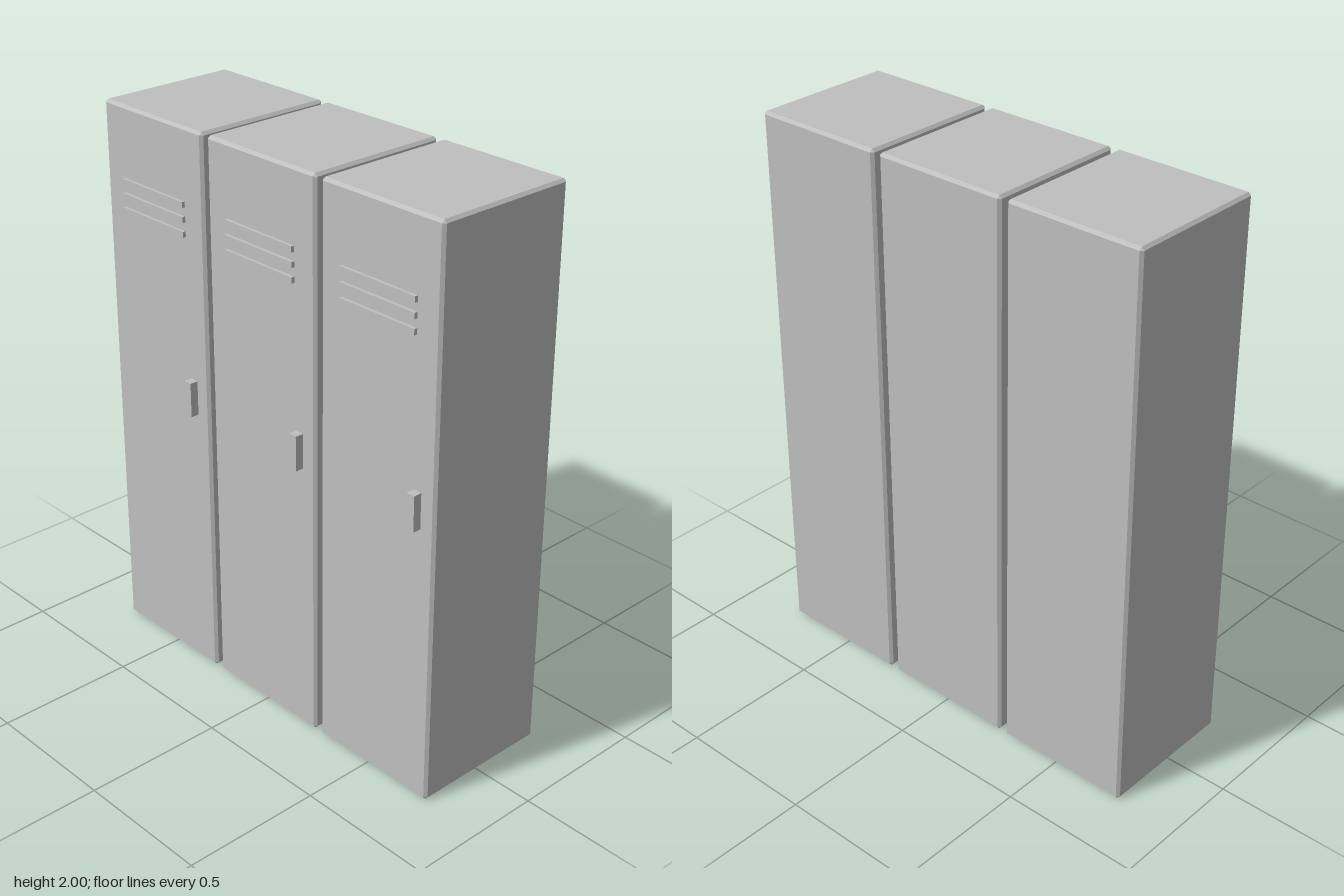
import * as THREE from 'three';
import { ConvexGeometry } from 'three/addons/geometries/ConvexGeometry.js';

// Box with flat chamfers along every edge
function chamferedBox(w, h, d, c) {
  const points = [];
  for (const sx of [-1, 1]) for (const sy of [-1, 1]) for (const sz of [-1, 1]) {
    const x = sx * w / 2, y = sy * h / 2, z = sz * d / 2;
    points.push(
      new THREE.Vector3(x, y - sy * c, z - sz * c),
      new THREE.Vector3(x - sx * c, y, z - sz * c),
      new THREE.Vector3(x - sx * c, y - sy * c, z));
  }
  return new ConvexGeometry(points);
}

export function createModel() {
  const metal = new THREE.MeshStandardMaterial({ color: 0xbfbfbf });
  metal.name = 'grey metal';

  const back = -0.276, front = 0.246, depth = front - back;
  const bodyGeometry = chamferedBox(0.5, 2, depth, 0.01);
  const slatGeometry = new THREE.BoxGeometry(0.314, 0.02, 0.024);
  const handleGeometry = new THREE.BoxGeometry(0.032, 0.125, 0.04);

  function addPart(parent, name, geometry, x, y, z) {
    const mesh = new THREE.Mesh(geometry, metal);
    mesh.name = name;
    mesh.position.set(x, y, z);
    parent.add(mesh);
  }

  const model = new THREE.Group();
  model.name = 'lockers';

  // Three identical lockers side by side
  for (let i = 0; i < 3; i++) {
    const locker = new THREE.Group();
    locker.name = 'locker' + (i + 1);
    locker.position.x = (i - 1) * 0.525;
    addPart(locker, 'body', bodyGeometry, 0, 1, (front + back) / 2);
    // Vent slats near the top of the door
    for (let s = 0; s < 3; s++) {
      addPart(locker, 'ventSlat' + (s + 1), slatGeometry, 0, 1.74 - s * 0.051, front);
    }
    // Handle near the door edge
    addPart(locker, 'handle', handleGeometry, 0.176, 1.058, 0.256);
    model.add(locker);
  }
  return model;
}
